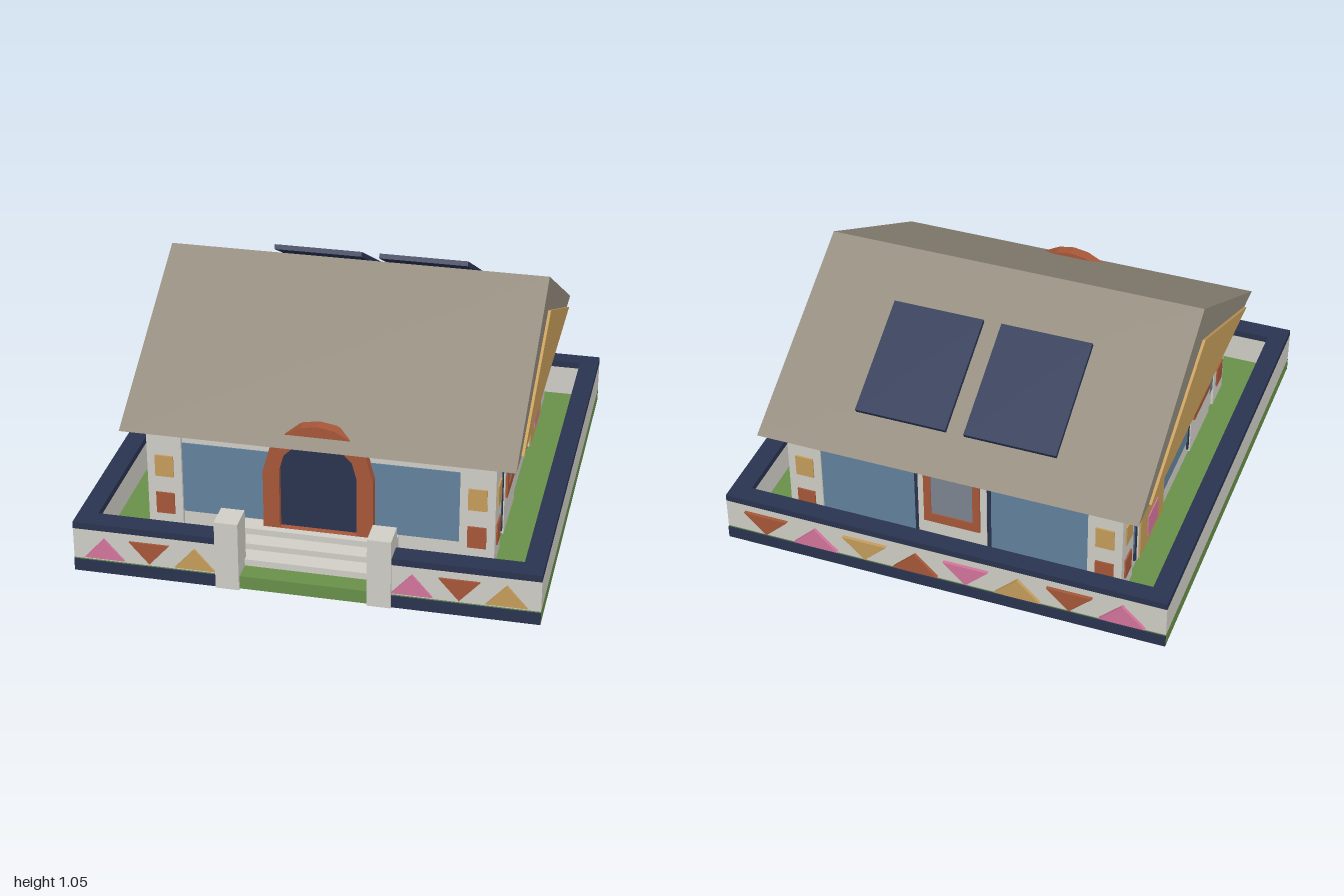
import * as THREE from 'three';

const material = (name, color, extra = {}) => new THREE.MeshStandardMaterial({ name, color, ...extra });

export function createModel() {
  const model = new THREE.Group();
  model.name = 'house';
  const white = material('plaster white', 0xd2d0c8);
  const navy = material('navy', 0x2a3450);
  const green = material('grass green', 0x6a924a);
  const glass = material('window blue', 0x64849f);
  const pane = material('door glass grey', 0x7f8793);
  const brick = material('brick red', 0xa8583a);
  const ochre = material('ochre', 0xc89f5c);
  const pink = material('pink', 0xd6769e);
  const roofGrey = material('roof grey', 0x938b7c);
  const solar = material('solar blue', 0x2e3857);

  // Box given by its limits on each axis
  const box = (name, mat, [x0, x1], [y0, y1], [z0, z1], parent = model) => {
    const mesh = new THREE.Mesh(new THREE.BoxGeometry(x1 - x0, y1 - y0, z1 - z0), mat);
    mesh.position.set((x0 + x1) / 2, (y0 + y1) / 2, (z0 + z1) / 2);
    mesh.name = name;
    parent.add(mesh);
    return mesh;
  };
  // Flat plate with a polygon outline, standing between two depths
  const plate = (parent, name, mat, pts, z0, z1, holePts) => {
    const toVectors = (list) => list.map(([x, y]) => new THREE.Vector2(x, y));
    const shape = new THREE.Shape(toVectors(pts));
    if (holePts) shape.holes.push(new THREE.Path(toVectors(holePts)));
    const mesh = new THREE.Mesh(
      new THREE.ExtrudeGeometry(shape, { depth: z1 - z0, bevelEnabled: false }), mat);
    mesh.position.z = z0;
    mesh.name = name;
    parent.add(mesh);
    return mesh;
  };
  const rect = (x0, x1, y0, y1) => [[x0, y0], [x1, y0], [x1, y1], [x0, y1]];
  // Closed outline from its right half
  const mirrored = (half) => [...half, ...half.filter(([x]) => x > 0).reverse().map(([x, y]) => [-x, y])];
  // Group whose local +z looks out of one side of the house
  const facade = (name, angle) => {
    const group = new THREE.Group();
    group.name = name;
    group.rotation.y = angle;
    model.add(group);
    return group;
  };

  // Garden and boundary wall
  const E = 0.985, I = 0.905, G = 0.06;
  box('lawn', green, [-E, E], [0, G], [-E, E]);
  for (const s of [-1, 1]) {
    const span = (a, b) => (s > 0 ? [a, b] : [-b, -a]);
    box('sideWall', white, span(I, E), [G, 0.2], [-E, E]);
    box('sideWallCap', navy, span(I - 0.005, E), [0.2, 0.23], [-E, E]);
    box('frontWall', white, span(0.32, I), [G, 0.2], [I, E]);
    box('frontWallCap', navy, span(0.32, I - 0.005), [0.2, 0.23], [I - 0.01, E]);
    box('frontWallBase', navy, span(0.32, E), [0, 0.055], [E, E + 0.006]);
    box('gatePost', white, span(0.27, 0.37), [0, 0.315], [0.88, 1]);
  }
  box('backWall', white, [-I, I], [G, 0.2], [-E, -I]);
  box('backWallCap', navy, [-I + 0.005, I - 0.005], [0.2, 0.23], [-E, -I]);
  box('backWallBase', navy, [-E, E], [0, 0.055], [-E - 0.006, -E]);

  const front = facade('frontFacade', 0);
  const back = facade('backFacade', Math.PI);

  // Painted triangles on the boundary wall
  const colours = [pink, brick, ochre];
  const triangle = (parent, x, w, up, mat, depth) => {
    const [base, tip] = up ? [0.07, 0.168] : [0.168, 0.07];
    plate(parent, 'wallTriangle', mat, [[x - w, base], [x + w, base], [x, tip]], E, E + depth);
  };
  for (const start of [-0.85, 0.455]) {
    for (let i = 0; i < 3; i++) triangle(front, start + i * 0.195, 0.086, i !== 1, colours[i], 0.009);
  }
  for (let i = 0; i < 8; i++) {
    triangle(back, 0.798 - i * 0.228, 0.1, i % 2 === 0, colours[i % 3], 0.015);
  }

  // Entrance steps
  [[0.145, 0.745], [0.117, 0.82], [0.09, 0.9]].forEach(([top, z]) =>
    box('step', white, [-0.335, 0.335], [G, top], [0.6, z]));

  // House body and corner piers
  box('houseWalls', white, [-0.735, 0.735], [G, 0.57], [-0.83, 0.665]);
  for (const s of [-1, 1]) {
    for (const z of [0.608, -0.765]) {
      const x = s * 0.67;
      box('cornerPier', white, [x - 0.075, x + 0.075], [G, 0.568], [z - 0.077, z + 0.077]);
      const outward = z > 0 ? 1 : -1;
      for (const [mat, y] of [[ochre, 0.37], [brick, 0.19]]) {
        const zFace = z + outward * 0.08, xFace = s * 0.748;
        box('pierTile', mat, [x - 0.04, x + 0.04], [y - 0.05, y + 0.05], [zFace - 0.004, zFace + 0.004]);
        box('pierTile', mat, [xFace - 0.004, xFace + 0.004], [y - 0.05, y + 0.05], [z - 0.04, z + 0.04]);
      }
    }
  }

  // Framed glass door on a white panel, d is the wall depth
  const glassDoor = (parent, u, d) => {
    plate(parent, 'doorBacking', navy, rect(u - 0.17, u + 0.17, 0.1, 0.48), d, d + 0.008);
    plate(parent, 'doorPanel', white, rect(u - 0.153, u + 0.153, 0.08, 0.565), d, d + 0.013);
    plate(parent, 'doorFrame', brick, rect(u - 0.125, u + 0.125, 0.24, 0.535), d, d + 0.022,
      rect(u - 0.093, u + 0.093, 0.285, 0.505));
    plate(parent, 'doorPane', pane, rect(u - 0.093, u + 0.093, 0.285, 0.505), d, d + 0.017);
  };

  // Front: long window and arched entrance
  plate(front, 'frontWindow', glass, rect(-0.6, 0.6, 0.15, 0.48), 0.665, 0.67);
  const archOuter = mirrored([[0.235, 0.145], [0.235, 0.41], [0.205, 0.52], [0.135, 0.6], [0.07, 0.635], [0, 0.647]]);
  const archInner = mirrored([[0.165, 0.145], [0.165, 0.42], [0.145, 0.495], [0.08, 0.56], [0, 0.585]]);
  plate(front, 'entranceArch', brick, archOuter, 0.66, 0.712,
    archInner.map(([x, y]) => [x, y < 0.15 ? 0.146 : y]));
  plate(front, 'entranceDoor', navy, archInner, 0.66, 0.685);

  // Back: two windows and a door
  plate(back, 'backWindow', glass, rect(-0.6, 0.6, 0.15, 0.48), 0.83, 0.835);
  glassDoor(back, 0, 0.83);

  // Sides: window, door and stepped ornament, mirrored left and right
  const stepped = (u, tiers) => {
    const half = [];
    let base = 0.1;
    for (const [w, top] of tiers) {
      half.push([w, base], [w, top]);
      base = top;
    }
    return mirrored(half).map(([x, y]) => [x + u, y]);
  };
  for (const s of [-1, 1]) {
    const side = facade(s > 0 ? 'leftFacade' : 'rightFacade', s * Math.PI / 2);
    const d = 0.735;
    const [a, b] = s > 0 ? [-0.54, 0.7] : [-0.7, 0.54];
    plate(side, 'sideWindow', glass, rect(a, b, 0.15, 0.48), d, d + 0.005);
    glassDoor(side, -s * 0.3, d);
    const u = s * 0.455;
    plate(side, 'ornamentOutline', navy, stepped(u, [[0.193, 0.325], [0.14, 0.422], [0.087, 0.477]]), d, d + 0.01);
    plate(side, 'ornamentBorder', white, stepped(u, [[0.178, 0.31], [0.125, 0.407], [0.073, 0.51]]), d, d + 0.016);
    plate(side, 'ornament', ochre, stepped(u, [[0.165, 0.31], [0.112, 0.4], [0.06, 0.495]]), d, d + 0.022);
    plate(side, 'ornamentBase', pink, rect(u - 0.068, u + 0.068, 0.14, 0.248), d, d + 0.027);
    // Gable panel
    plate(side, 'gablePanel', ochre, [[-s * 0.635, 0.569], [s * 0.8, 0.569], [s * 0.082, 0.89]], 0.83, 0.847);
  }

  // Solid gable roof
  const roof = new THREE.Group();
  roof.name = 'roof';
  roof.rotation.y = Math.PI / 2;
  model.add(roof);
  plate(roof, 'roofPrism', roofGrey, [[-0.77, 0.563], [0.935, 0.563], [0.082, 1.048]], -0.835, 0.835);

  // Solar panels raised over the back slope
  for (const s of [-1, 1]) {
    const panel = new THREE.Mesh(new THREE.BoxGeometry(0.4, 0.022, 0.515), solar);
    panel.name = 'solarPanel';
    panel.position.set(s * 0.24, 0.826, -0.573);
    panel.rotation.x = -Math.atan2(0.25, 0.45);
    model.add(panel);
  }
  return model;
}
